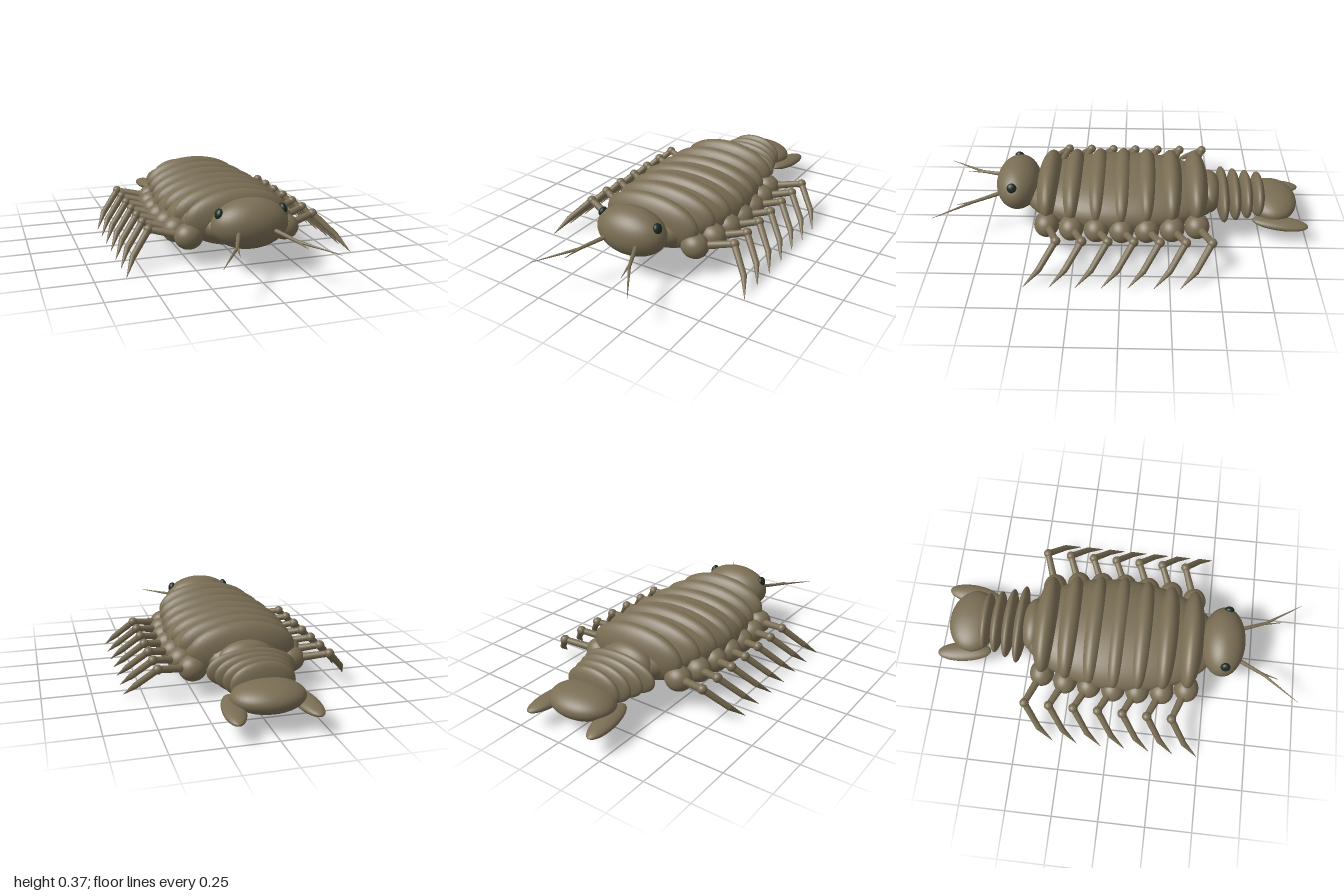
import * as THREE from 'three';

export function createModel() {
  const shell = new THREE.MeshStandardMaterial({ color: 0x7a6e54 });
  shell.name = 'olive brown shell';
  const eyeDark = new THREE.MeshStandardMaterial({ color: 0x1c2b24 });
  eyeDark.name = 'dark green eye';

  const model = new THREE.Group();
  model.name = 'isopod';
  const ball = new THREE.SphereGeometry(1, 36, 24);
  const V = (x, y, z) => new THREE.Vector3(x, y, z);

  // Ellipsoid from centre and radii
  function ellipsoid(name, pos, radii, parent = model, material = shell) {
    const mesh = new THREE.Mesh(ball, material);
    mesh.name = name;
    mesh.position.set(...pos);
    mesh.scale.set(...radii);
    parent.add(mesh);
    return mesh;
  }

  // Tapered rod between two points
  function rod(name, a, b, ra, rb, parent) {
    const dir = b.clone().sub(a);
    const mesh = new THREE.Mesh(new THREE.CylinderGeometry(rb, ra, dir.length(), 12), shell);
    mesh.name = name;
    mesh.position.copy(a).lerp(b, 0.5);
    mesh.quaternion.setFromUnitVectors(V(0, 1, 0), dir.normalize());
    parent.add(mesh);
    return mesh;
  }

  // Main body and the seven back plates
  ellipsoid('body', [0, 0.19, 0], [0.32, 0.152, 0.55]);
  ellipsoid('waist', [0, 0.195, -0.47], [0.15, 0.1, 0.07]);
  const plateZ = (i) => 0.396 - i * 0.132;
  for (let i = 0; i < 7; i++) {
    const off = Math.abs(i - 3);
    const rx = [0.322, 0.312, 0.297, 0.277][off];
    ellipsoid('backPlate', [0, 0.225, plateZ(i)], [rx, 0.136 + off * 0.003, 0.071]);
  }

  // Head
  ellipsoid('head', [0, 0.242, 0.568], [0.195, 0.125, 0.12]);

  // Tail rings and tail plate
  [0.225, 0.2, 0.178, 0.16].forEach((rx, i) =>
    ellipsoid('tailRing', [0, 0.178, -0.548 - i * 0.064], [rx, 0.105, 0.037]));
  ellipsoid('tailPlate', [0, 0.145, -0.818], [0.18, 0.074, 0.137]);

  // Paired parts
  for (const s of [1, -1]) {
    const eye = ellipsoid('eye', [s * 0.164, 0.306, 0.583], [0.018, 0.027, 0.026], model, eyeDark);
    eye.rotation.z = -s * -0.35;

    const fin = ellipsoid('tailFin', [s * 0.173, 0.108, -0.85], [0.056, 0.028, 0.15]);
    fin.rotation.set(-0.06, -s * 0.12, 0);

    // Forked antenna
    const antenna = new THREE.Group();
    antenna.name = 'antenna';
    model.add(antenna);
    const fork = V(s * 0.15, 0.205, 0.8);
    rod('antennaBase', V(s * 0.085, 0.226, 0.65), fork, 0.012, 0.008, antenna);
    rod('antennaLong', fork, V(s * 0.28, 0.19, 0.995), 0.008, 0.001, antenna);
    rod('antennaShort', V(s * 0.142, 0.207, 0.785), V(s * 0.165, 0.195, 0.885), 0.007, 0.001, antenna);

    // Seven legs per side
    for (let i = 0; i < 7; i++) {
      const leg = new THREE.Group();
      leg.name = 'leg';
      model.add(leg);
      const z = plateZ(i);
      const hipX = [0.3, 0.295, 0.285, 0.257][Math.abs(i - 3)];
      const hip = V(s * hipX, 0.147, z);
      const knee = V(s * 0.445, 0.182, z - 0.066);
      const shin = V(s * 0.545, 0.076, z + 0.016);
      const foot = V(s * 0.595, 0.003, z + 0.095);
      ellipsoid('hip', hip.toArray(), [0.074, 0.067, 0.066], leg);
      rod('thigh', hip, knee, 0.022, 0.017, leg);
      ellipsoid('knee', knee.toArray(), [0.025, 0.025, 0.025], leg);
      rod('shin', knee, shin, 0.018, 0.016, leg);
      ellipsoid('ankle', shin.toArray(), [0.016, 0.016, 0.016], leg);
      rod('claw', shin, foot, 0.016, 0.001, leg);
    }
  }
  return model;
}
